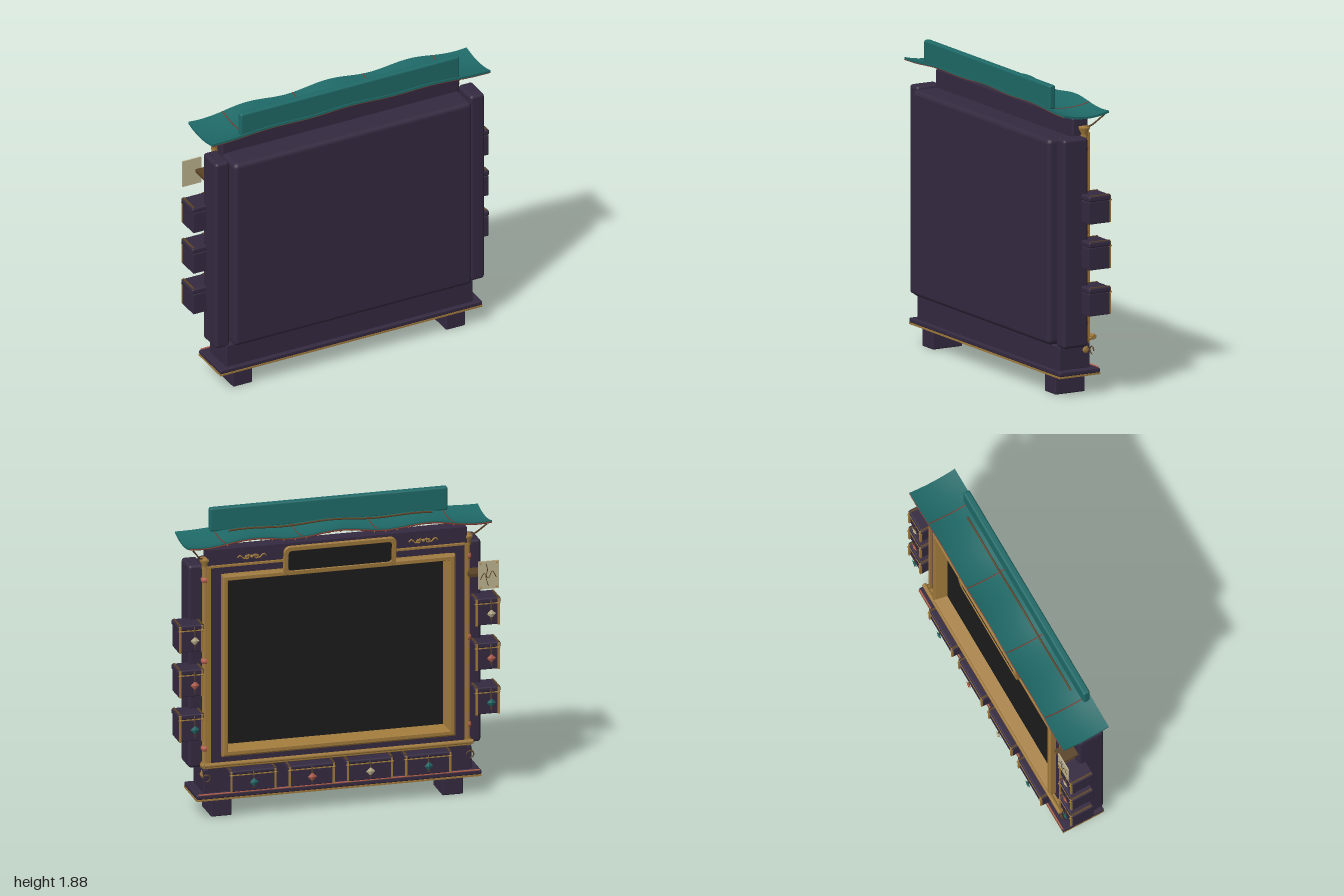
import * as THREE from 'three';
import { RoundedBoxGeometry } from 'three/addons/geometries/RoundedBoxGeometry.js';

const mat = (name, color, side = THREE.FrontSide) => {
  const m = new THREE.MeshStandardMaterial({ color, side });
  m.name = name;
  return m;
};

export function createModel() {
  const purple = mat('plum wood', 0x342a40);
  const gold = mat('antique gold', 0xa07a3c);
  const teal = mat('teal cloth', 0x1e6967);
  const black = mat('screen black', 0x1b1b1c);
  const coral = mat('coral', 0xb5604f);
  const red = mat('dark red cord', 0x7a3a30);
  const cream = mat('parchment', 0xbdb28e, THREE.DoubleSide);
  const bronze = mat('dark bronze', 0x5a4328);

  const root = new THREE.Group();
  root.name = 'cabinet';
  const V = (x, y, z) => new THREE.Vector3(x, y, z);
  const add = (name, geo, m, parent = root) => {
    const mesh = new THREE.Mesh(geo, m);
    mesh.name = name;
    parent.add(mesh);
    return mesh;
  };
  // Box given by its limits on each axis, optionally rounded
  const box = (name, m, x0, x1, y0, y1, z0, z1, r = 0, parent = root) => {
    const s = [x1 - x0, y1 - y0, z1 - z0];
    const geo = r ? new RoundedBoxGeometry(...s, 3, r) : new THREE.BoxGeometry(...s);
    const mesh = add(name, geo, m, parent);
    mesh.position.set((x0 + x1) / 2, (y0 + y1) / 2, (z0 + z1) / 2);
    return mesh;
  };
  const tube = (name, m, pts, r, parent = root, seg = 24) =>
    add(name, new THREE.TubeGeometry(new THREE.CatmullRomCurve3(pts), seg, r, 6), m, parent);
  const ball = (name, m, r, x, y, z, parent = root) => {
    const b = add(name, new THREE.SphereGeometry(r, 14, 10), m, parent);
    b.position.set(x, y, z);
    return b;
  };

  // Rectangular moulding facing -z: profile of [inset, z] swept round a rectangle
  const moulding = (name, m, hw, y0, y1, profile) => {
    const ring = profile.map(([d, z]) => [
      V(-hw + d, y0 + d, z), V(hw - d, y0 + d, z), V(hw - d, y1 - d, z), V(-hw + d, y1 - d, z)]);
    const pts = [];
    for (let i = 0; i < ring.length - 1; i++) for (let k = 0; k < 4; k++) {
      const j = (k + 1) % 4, [a, b] = [ring[i], ring[i + 1]];
      pts.push(a[k], b[j], a[j], a[k], b[k], b[j]);
    }
    const geo = new THREE.BufferGeometry().setFromPoints(pts);
    geo.computeVertexNormals();
    return add(name, geo, m);
  };
  const roundedRect = (P, hw, hh, r) => {
    const p = new P();
    p.absarc(hw - r, hh - r, r, 0, Math.PI / 2);
    p.absarc(-hw + r, hh - r, r, Math.PI / 2, Math.PI);
    p.absarc(-hw + r, -hh + r, r, Math.PI, Math.PI * 1.5);
    p.absarc(hw - r, -hh + r, r, Math.PI * 1.5, Math.PI * 2);
    p.closePath();
    return p;
  };

  // Cabinet body, plinth and feet
  box('bodyPanel', purple, -0.8, 0.8, 0.29, 1.68, -0.04, 0.02, 0.015);
  box('rearCover', purple, -0.8, 0.8, 0.31, 1.565, 0, 0.185, 0.03);
  box('lowerBody', purple, -0.83, 0.83, 0.15, 0.305, -0.085, 0.13, 0.01);
  box('plinth', purple, -0.88, 0.88, 0.128, 0.157, -0.125, 0.155, 0.008);
  box('plinthUnderside', gold, -0.88, 0.88, 0.118, 0.129, -0.125, 0.155);
  tube('plinthCord', coral, [V(-0.87, 0.158, -0.122), V(0.87, 0.158, -0.122)], 0.005);
  for (const s of [-1, 1]) {
    box('foot', purple, s * 0.715 - 0.065, s * 0.715 + 0.065, 0, 0.125, -0.08, 0.125, 0.008);
    box('sideCabinet', purple, s * 0.8565 - 0.0475, s * 0.8565 + 0.0475, 0.3, 1.575, -0.03, 0.14, 0.02);
  }

  // Screen surround, gilded frame and screen
  moulding('fascia', purple, 0.8, 0.29, 1.68, [[0, -0.03], [0, -0.085], [0.1, -0.085], [0.1, -0.03]]);
  moulding('screenFrame', gold, 0.72, 0.385, 1.525,
    [[0, -0.08], [0, -0.118], [0.01, -0.125], [0.03, -0.125], [0.035, -0.115], [0.056, -0.046]]);
  box('screen', black, -0.67, 0.67, 0.43, 1.48, -0.048, -0.039);
  box('topTrim', gold, -0.79, 0.79, 1.572, 1.584, -0.1, -0.08);

  // Gold rail beneath the screen
  box('shelf', gold, -0.82, 0.82, 0.318, 0.334, -0.125, -0.04, 0.006);
  const rail = add('shelfRail', new THREE.CylinderGeometry(0.014, 0.014, 1.66, 12), gold);
  rail.rotation.z = Math.PI / 2;
  rail.position.set(0, 0.338, -0.115);

  // Nameplate above the screen, leaning outward at the top
  const plaque = new THREE.Group();
  plaque.name = 'plaque';
  plaque.position.set(0, 1.59, -0.138);
  plaque.rotation.x = -0.1;
  root.add(plaque);
  const rim = roundedRect(THREE.Shape, 0.345, 0.09, 0.035);
  rim.holes.push(roundedRect(THREE.Path, 0.322, 0.067, 0.022));
  add('plaqueRim', new THREE.ExtrudeGeometry(rim, {
    depth: 0.016, bevelEnabled: true, bevelSize: 0.003, bevelThickness: 0.003, bevelSegments: 1, curveSegments: 6 }),
    gold, plaque).position.z = -0.008;
  box('plaqueFace', black, -0.33, 0.33, -0.075, 0.075, -0.005, 0.005, 0, plaque);
  for (const s of [-1, 1]) box('plaqueMount', bronze, s * 0.2 - 0.02, s * 0.2 + 0.02, 1.56, 1.62, -0.132, -0.08);

  // Turned columns with collars, finials, eave brackets and scrolls
  const column = [[0.001, 0.24], [0.022, 0.245], [0.032, 0.265], [0.022, 0.29], [0.016, 0.3], [0.03, 0.315],
    [0.03, 0.33], [0.018, 0.35], [0.018, 1.55], [0.023, 1.57], [0.018, 1.58], [0.034, 1.61], [0.034, 1.625], [0.001, 1.626]]
    .map(p => new THREE.Vector2(...p));
  for (const s of [-1, 1]) {
    add('column', new THREE.LatheGeometry(column, 16), gold).position.set(s * 0.81, 0, -0.055);
    box('columnStrip', gold, s * 0.795 - 0.009, s * 0.795 + 0.009, 0.33, 1.58, -0.1, -0.07);
    for (const y of [0.43, 0.98, 1.49]) {
      const collar = add('columnCollar', new THREE.TorusGeometry(0.018, 0.008, 8, 16), coral);
      collar.rotation.x = Math.PI / 2;
      collar.scale.z = 2;
      collar.position.set(s * 0.81, y, -0.055);
    }
    tube('eaveBracket', bronze, [V(s * 0.82, 1.62, -0.06), V(s * 0.85, 1.635, -0.08),
      V(s * 0.885, 1.68, -0.12), V(s * 0.91, 1.71, -0.14)], 0.005);
    const hook = add('hook', new THREE.TorusGeometry(0.022, 0.004, 6, 16, 5), bronze);
    hook.position.set(s * 0.815, 0.255, -0.105);
    for (const d of [-1, 1]) {
      tube('scroll', gold, [0, 1, 2, 3, 4, 5, 6].map(i => V(s * 0.53 + d * (0.005 + i * 0.014),
        1.622 + 0.011 * Math.sin(i * 1.6), -0.09)), 0.0045);
      const curl = add('scrollCurl', new THREE.TorusGeometry(0.011, 0.004, 6, 12), gold);
      curl.position.set(s * 0.53 + d * 0.03, 1.62, -0.09);
    }
    ball('scrollBoss', gold, 0.01, s * 0.53, 1.622, -0.09);
  }

  // Cloth canopy: shallow sag, drooping ends and waves that grow toward the eave
  const roofY = (x, z) => 1.708 + 0.02 * (1 - (x / 0.935) ** 2) + 0.022 * (z / 0.155) ** 2
    + 0.01 * Math.cos(x * 11.4) * (0.85 - 0.4 * z / 0.155);
  const cloth = new THREE.BoxGeometry(1.87, 0.013, 0.308, 72, 1, 12);
  const p = cloth.attributes.position;
  for (let i = 0; i < p.count; i++) p.setY(i, p.getY(i) + roofY(p.getX(i), p.getZ(i)));
  cloth.computeVertexNormals();
  add('canopy', cloth, teal);
  const alongX = (hw, z, dy, n = 40) =>
    Array.from({ length: n + 1 }, (_, i) => -hw + 2 * hw * i / n).map(x => V(x, roofY(x, z) + dy, z));
  tube('eaveCord', red, alongX(0.935, -0.153, -0.004), 0.005, root, 100);
  tube('frontCord', red, alongX(0.935, 0.152, -0.008), 0.003, root, 100);
  tube('canopyCord', bronze, alongX(0.63, 0.068, 0.012), 0.006, root, 80);
  for (const x of [-0.705, -0.235, 0.235, 0.705])
    tube('canopySeam', red, [-0.153, -0.08, 0, 0.08, 0.15].map(z => V(x, roofY(x, z) + 0.005, z)), 0.0045);
  for (let i = -10; i <= 10; i++)
    ball('eaveBead', i % 2 ? gold : coral, 0.005, i * 0.07, roofY(i * 0.07, -0.153) - 0.01, -0.153);
  box('ridgeBoard', teal, -0.735, 0.735, 1.73, 1.877, 0.097, 0.14, 0.012);

  // Strapped chest facing -z, with a diamond stud hung from a latch cord
  const chest = (name, x, y0, w, h, z0, z1, gemX, gemMat) => {
    const g = new THREE.Group();
    g.name = name;
    g.position.set(x, y0, 0);
    root.add(g);
    const a = w / 2, lid = h * 0.8, e = 0.006;
    box('chestBody', purple, -a + e, a - e, 0, lid, z0 + e, z1, 0.005, g);
    box('chestLid', purple, -a, a, lid, h, z0, z1, 0.01, g);
    box('lidBand', gold, -a + 0.004, a - 0.004, lid - 0.003, lid + 0.003, z0 - 0.002, z0 + 0.01, 0, g);
    for (const s of [-1, 1]) {
      const sx = s * (a - 0.014);
      box('strap', gold, sx - e, sx + e, 0, h - 0.004, z0 - 0.004, z0 + 0.012, 0, g);
      box('lidStrap', bronze, sx - e, sx + e, h - 0.004, h + 0.003, z0 + 0.004, z1 - 0.01, 0, g);
      ball('strapStud', gold, 0.007, sx, lid, z0 - 0.005, g);
    }
    tube('latchCord', bronze, [V(gemX, h - 0.01, z0), V(gemX, lid, z0 - 0.008), V(gemX, lid * 0.6, z0 - 0.011),
      V(gemX, lid * 0.2, z0 - 0.012)], 0.004, g, 12);
    const gem = add('gem', new THREE.OctahedronGeometry(0.028), gemMat, g);
    gem.scale.z = 0.3;
    gem.position.set(gemX, lid * 0.55, z0 - 0.013);
  };
  for (const s of [-1, 1]) [[0.505, teal], [0.785, coral], [1.065, cream]].forEach(([y, m]) =>
    chest('sideChest', s * 0.916, y, 0.164, 0.17, -0.13, 0.02, -0.02, m));
  [[0.54, teal], [0.18, coral], [-0.18, cream], [-0.54, teal]].forEach(([x, m]) =>
    chest('lowerChest', x, 0.172, 0.3, 0.132, -0.163, -0.08, 0, m));

  // Parchment chart pinned to one side
  box('chart', cream, -0.98, -0.855, 1.3, 1.475, -0.148, -0.14);
  tube('chartRoute', bronze, [V(-0.965, 1.37, -0.148), V(-0.94, 1.41, -0.148), V(-0.915, 1.37, -0.148),
    V(-0.89, 1.4, -0.148), V(-0.865, 1.36, -0.148)], 0.0025);
  tube('chartBranch', bronze, [V(-0.9, 1.46, -0.148), V(-0.91, 1.42, -0.148), V(-0.9, 1.385, -0.148),
    V(-0.915, 1.32, -0.148)], 0.0025);
  for (const [x, y] of [[-0.967, 1.463], [-0.868, 1.463], [-0.967, 1.312], [-0.868, 1.312]])
    ball('chartPin', gold, 0.006, x, y, -0.148);
  box('chartMount', bronze, -0.895, -0.8, 1.38, 1.4, -0.14, -0.03);
  return root;
}
